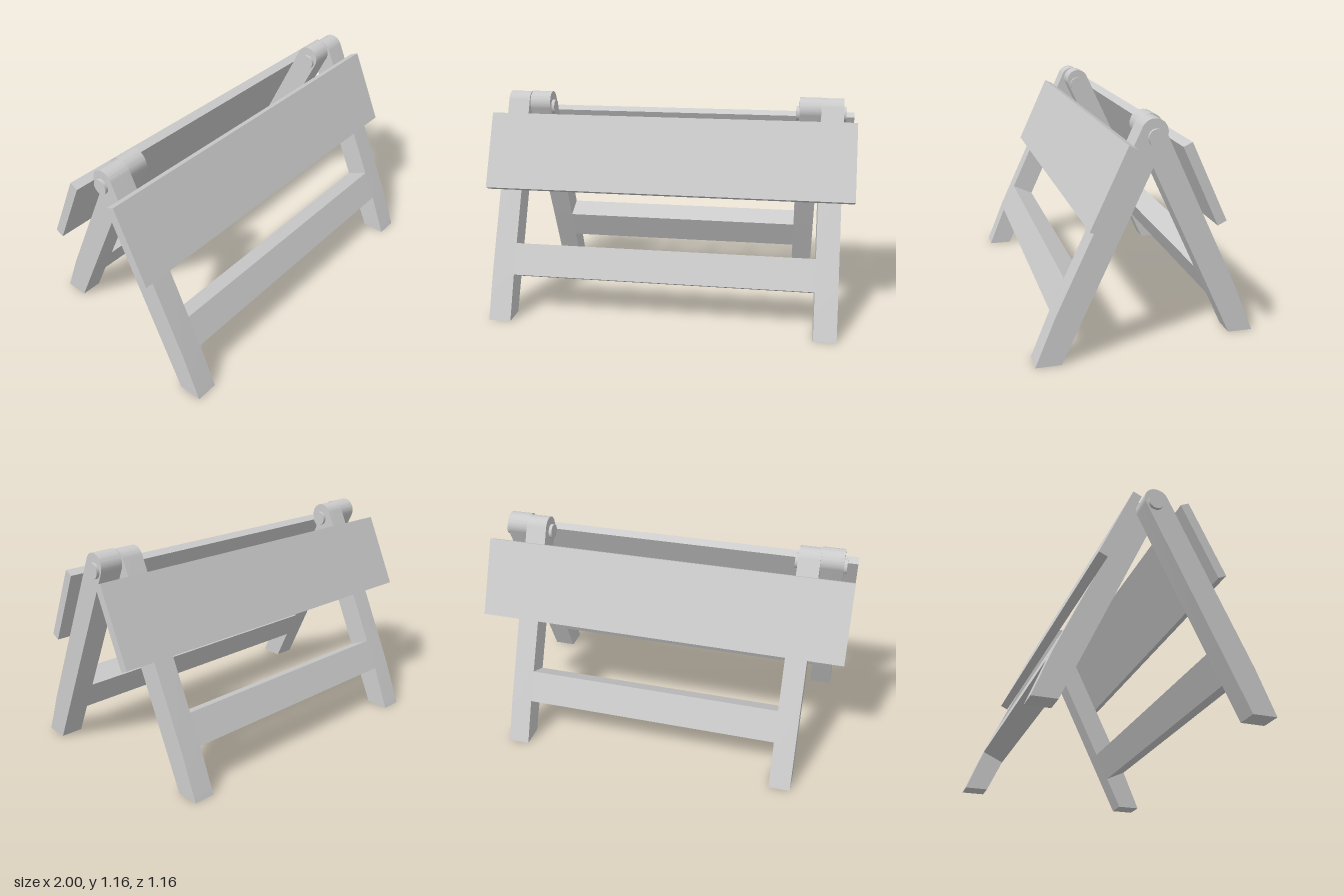
import * as THREE from 'three';
import { toCreasedNormals } from 'three/addons/utils/BufferGeometryUtils.js';

const material = new THREE.MeshStandardMaterial({ color: 0xcccccc });

// Lean of the frames, and the rounded top end of each leg
const LEAN = Math.atan(0.467);
const TOP = { z: 0.007, y: 1.1, r: 0.0645 };

function addMesh(parent, geometry, name) {
  const mesh = new THREE.Mesh(geometry, material);
  mesh.name = name;
  parent.add(mesh);
  return mesh;
}

// Extrudes a (z, y) profile along x, centred on the given x
function extrudeAlongX(shape, width, x) {
  const g = new THREE.ExtrudeGeometry(shape, { depth: width, bevelEnabled: false, curveSegments: 20 });
  g.rotateY(-Math.PI / 2).translate(x + width / 2, 0, 0);
  return toCreasedNormals(g, 0.35);
}

// Leg: slanted bar, splayed foot, rounded top
function legShape() {
  const s = new THREE.Shape();
  s.moveTo(0.45, 0);
  s.lineTo(0.578, 0);
  s.lineTo(0.481, 0.238);
  s.absarc(TOP.z, TOP.y, TOP.r, LEAN, LEAN + Math.PI, false);
  s.closePath();
  return s;
}

// Plank leaning with the frame, centred on (z, y)
function plank(width, height, thickness, y, z) {
  const g = new THREE.BoxGeometry(width, height, thickness);
  return g.rotateX(-LEAN).translate(0, y, z);
}

// One A-frame half: two legs, lower rail and top board
function createFrame(name, inner, outer) {
  const frame = new THREE.Group();
  frame.name = name;
  for (const side of [-1, 1]) {
    const leg = extrudeAlongX(legShape(), outer - inner, side * (inner + outer) / 2);
    addMesh(frame, leg, side > 0 ? 'leftLeg' : 'rightLeg');
  }
  addMesh(frame, plank(inner * 2, 0.173, 2 * TOP.r, 0.285, 0.388), 'lowerRail');
  addMesh(frame, plank(2, 0.425, 0.048, 0.86, 0.216), 'topBoard');
  return frame;
}

export function createModel() {
  const model = new THREE.Group();
  model.name = 'foldingBarricade';

  // The rear frame nests inside the front one
  model.add(createFrame('frontFrame', 0.81, 0.93));
  const back = createFrame('backFrame', 0.695, 0.81);
  back.rotation.y = Math.PI;
  model.add(back);

  // Hinge pins through the overlapping leg tops
  for (const side of [-1, 1]) {
    const pin = new THREE.CylinderGeometry(0.04, 0.04, 0.268, 32);
    pin.rotateZ(Math.PI / 2).translate(side * 0.812, 1.078, 0);
    addMesh(model, pin, side > 0 ? 'leftHingePin' : 'rightHingePin');
  }
  return model;
}
